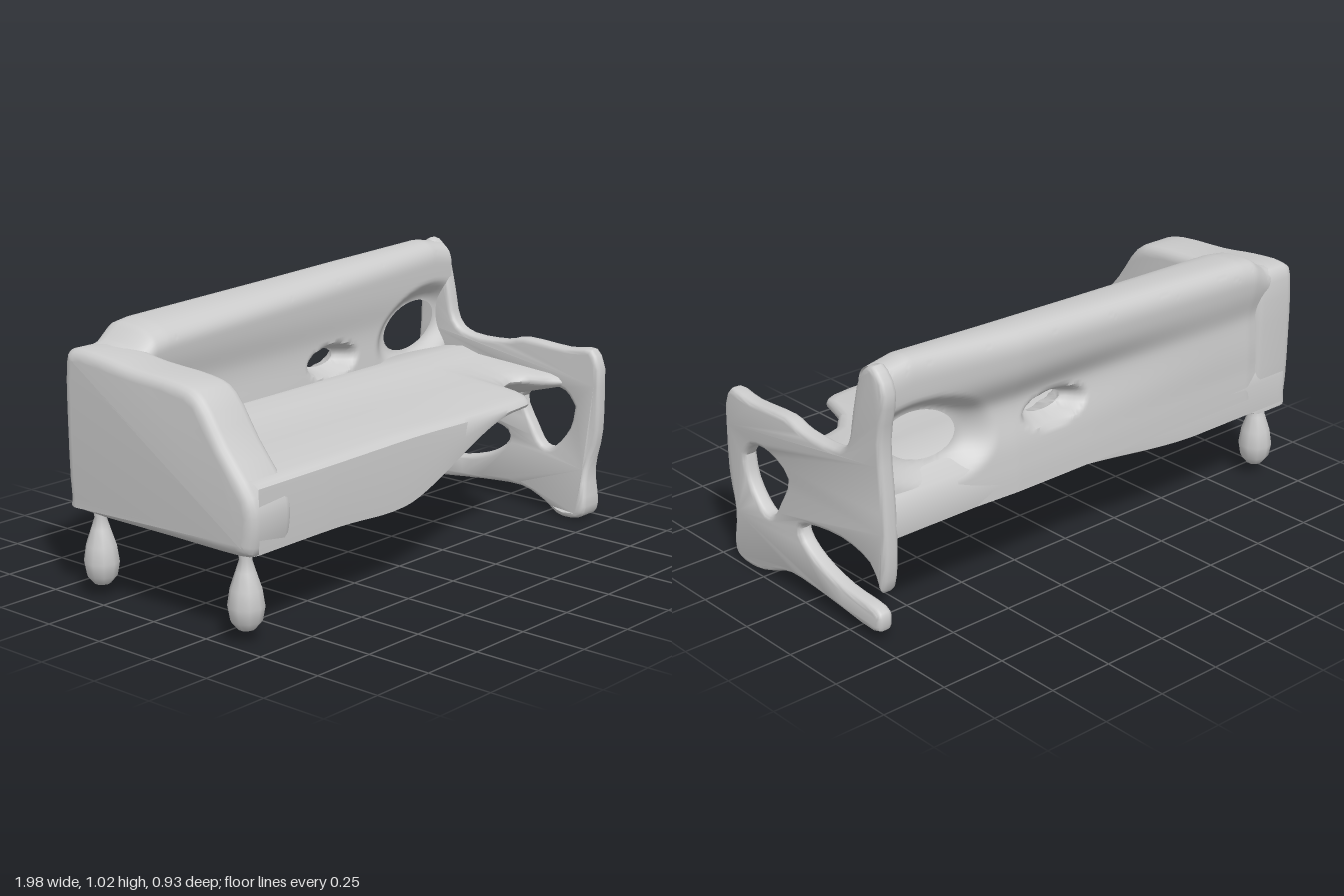
import * as THREE from 'three';
import { toCreasedNormals } from 'three/addons/utils/BufferGeometryUtils.js';

const { lerp, smoothstep } = THREE.MathUtils;
const material = new THREE.MeshStandardMaterial({ color: 0xcccccc, side: THREE.DoubleSide });

function addMesh(group, name, geometry) {
  const mesh = new THREE.Mesh(geometry, material);
  mesh.name = name;
  group.add(mesh);
  return mesh;
}

// Piecewise linear lookup in a short list of [x, value]
function lookup(list, x) {
  if (x <= list[0][0]) return list[0][1];
  for (let i = 1; i < list.length; i++) {
    const [x0, v0] = list[i - 1], [x1, v1] = list[i];
    if (x <= x1) return lerp(v0, v1, (x - x0) / (x1 - x0));
  }
  return list[list.length - 1][1];
}

// Skin rows of [x, y, z, insideHole] points
function skin(rows, crease) {
  const n = rows[0].length, index = [];
  for (let i = 0; i < rows.length - 1; i++) {
    for (let j = 0; j < n - 1; j++) {
      const corners = [rows[i][j], rows[i + 1][j], rows[i + 1][j + 1], rows[i][j + 1]];
      if (corners.every((p) => p[3])) continue;
      const a = i * n + j, b = a + n;
      index.push(a, b, b + 1, a, b + 1, a + 1);
    }
  }
  const geometry = new THREE.BufferGeometry();
  geometry.setAttribute('position', new THREE.Float32BufferAttribute(rows.flat().flatMap((p) => p.slice(0, 3)), 3));
  geometry.setIndex(index);
  return toCreasedNormals(geometry, crease);
}

// Side profile given as [z, y], extruded across x from xMin to xMax
function sidePanel(profile, hole, xMin, xMax, bevel) {
  const outline = (pts) => new THREE.SplineCurve([...pts, pts[0]].map((p) => new THREE.Vector2(...p))).getPoints(pts.length * 3);
  const shape = new THREE.Shape(outline(profile));
  if (hole) shape.holes.push(new THREE.Path(outline(hole)));
  const geometry = new THREE.ExtrudeGeometry(shape, {
    depth: xMax - xMin - 2 * bevel, bevelEnabled: true, bevelThickness: bevel,
    bevelSize: bevel, bevelOffset: -bevel, bevelSegments: 4,
  });
  geometry.rotateY(-Math.PI / 2).translate(xMax - bevel, 0, 0);
  return geometry;
}

// Solid seat: deep apron at the right arm, wedge thinning to the front left, notch beside the end panel
function seatGeometry() {
  const frontEdge = [[-0.96, 0.455], [-0.6, 0.445], [0, 0.42], [0.5, 0.40], [0.58, 0.39], [0.61, 0.37],
    [0.65, 0.24], [0.72, 0.16], [0.8, 0.135], [0.86, 0.17], [0.89, 0.25], [0.93, 0.3]];
  const rows = [];
  for (let i = 0; i <= 90; i++) {
    const x = lerp(-0.95, 0.95, i / 90);
    const zf = lookup(frontEdge, x);
    const sag = 0.02 * Math.exp(-(((x + 0.25) / 0.2) ** 2));
    const low = lerp(0.315, 0.38, smoothstep(x, -0.5, 0.2));
    const lip = lerp(0.315, 0.505, smoothstep(x, -0.18, 0.5)) - sag;
    const top = lerp(0.56, 0.545, smoothstep(x, -0.2, 0.4));
    const ring = [
      [zf - 0.03, lip], [zf - 0.005, lip + 0.01], [zf, lerp(lip, top, 0.5)], [zf - 0.005, top - 0.012],
      [zf - 0.02, top], [zf - 0.06, top + 0.01], [lerp(zf, -0.2, 0.5), 0.568],
      [-0.12, 0.578], [-0.2, 0.6], [-0.36, 0.58], [-0.42, 0.54], [-0.44, 0.45], [-0.435, low + 0.02],
      [-0.4, low], [-0.15, lerp(low, lip, 0.12)], [lerp(-0.15, zf, 0.5), lerp(low, lip, 0.55)], [zf - 0.03, lip],
    ];
    rows.push(ring.map(([z, y]) => [x, y, z]));
  }
  return skin(rows, 0.8);
}

// Backrest with a rounded top rail, hollowed behind; the skins pinch together around two openings
function backGeometry() {
  const topEdge = [[-0.92, 0.88], [-0.84, 0.9], [-0.77, 0.95], [-0.7, 0.96], [0, 0.985], [0.5, 1.005], [0.85, 1.02], [0.97, 1.0]];
  const rearEdge = [[-0.9, -0.435], [-0.75, -0.46], [0.4, -0.465], [0.97, -0.435]];
  const holes = [
    { x: 0.755, y: 0.692, rx: 0.155, ry: 0.088, tilt: 0.25 },
    { x: 0.21, y: 0.655, rx: 0.085, ry: 0.034, tilt: 0 },
  ];
  const steps = 44, rows = [];
  for (let i = 0; i <= 170; i++) {
    const row = [];
    for (let j = 0; j <= 2 * steps; j++) {
      const front = j <= steps;
      const v = 1 - Math.abs(j - steps) / steps;
      let x = lerp(-0.92, 0.96, i / 170);
      const top = lookup(topEdge, x);
      let y = lerp(0.4, top, 1 - (1 - v) ** 1.3);
      let inside = false, pinch = 1;
      for (const h of holes) {
        const c = Math.cos(h.tilt), s = Math.sin(h.tilt), dx = x - h.x, dy = y - h.y;
        const u = (dx * c + dy * s) / h.rx, w = (dy * c - dx * s) / h.ry;
        const r = Math.hypot(u, w) || 1e-6;
        pinch = Math.min(pinch, smoothstep(r, 1, 1.9));
        if (r < 1) {
          inside = true;
          x = h.x + (u * h.rx * c - w * h.ry * s) / r;
          y = h.y + (u * h.rx * s + w * h.ry * c) / r;
        }
      }
      const along = (x + 0.8) / 1.75;
      const q = Math.min(1, Math.max(0, (y - top + 0.09) / 0.09));
      const round = inside ? 0 : 1 - (1 - q ** 2.4) ** (1 / 2.4);
      const hollow = Math.exp(-(((y - 0.72) / (y > 0.72 ? 0.09 : 0.13)) ** 2));
      let z = front
        ? lerp(-0.19, -0.29, along) - 0.025 * hollow * (1 - 0.6 * along)
        : lookup(rearEdge, x) + hollow * lerp(0.03, 0.06, smoothstep(x, -0.6, 0.3)) + 0.02 * smoothstep(0.7 - y, 0, 0.2);
      z = lerp(z, -0.38, round);
      z = lerp(-0.345, z, pinch);
      row.push([x, y, z, inside]);
    }
    rows.push(row);
  }
  return skin(rows, 0.9);
}

export function createModel() {
  const model = new THREE.Group();
  model.name = 'sofa';
  addMesh(model, 'seat', seatGeometry());
  addMesh(model, 'backrest', backGeometry());

  // Solid padded arm, sloping down at the front
  const arm = sidePanel([
    [0.44, 0.325], [0.458, 0.42], [0.44, 0.52], [0.32, 0.67], [0.22, 0.81], [0.12, 0.85], [-0.1, 0.865],
    [-0.25, 0.885], [-0.39, 0.89], [-0.435, 0.84], [-0.44, 0.6], [-0.43, 0.36], [-0.39, 0.313], [0.05, 0.31], [0.38, 0.31],
  ], null, -0.99, -0.785, 0.04);
  addMesh(model, 'rightArm', toCreasedNormals(arm, 0.7));

  // Thin pierced end panel with front leg, low runner and tall rear post
  const panel = sidePanel([
    [0.46, 0.6], [0.42, 0.675], [0.3, 0.665], [0.1, 0.675], [0, 0.652], [-0.17, 0.652], [-0.25, 0.7], [-0.28, 0.82],
    [-0.32, 0.96], [-0.39, 1.015], [-0.455, 0.93], [-0.425, 0.75], [-0.44, 0.5], [-0.44, 0.3], [-0.41, 0.2],
    [-0.35, 0.29], [-0.2, 0.325], [0, 0.3], [0.035, 0.25], [-0.05, 0.185], [-0.2, 0.14], [-0.37, 0.125],
    [-0.4, 0.08], [-0.36, 0.035], [-0.1, 0.06], [0.1, 0.07], [0.22, 0.03], [0.31, 0.005], [0.41, 0.01],
    [0.445, 0.06], [0.43, 0.2], [0.46, 0.36],
  ], [[0.35, 0.44], [0.3, 0.495], [0.2, 0.5], [0.1, 0.44], [0.15, 0.33], [0.2, 0.26], [0.26, 0.265], [0.33, 0.35]],
  0.925, 0.988, 0.02);
  const p = panel.attributes.position;
  for (let i = 0; i < p.count; i++) {
    // Flare the foot of the front leg inwards
    const flare = smoothstep(p.getZ(i), 0.2, 0.35) * (1 - smoothstep(p.getY(i), 0.04, 0.3));
    if (p.getX(i) < 0.95) p.setX(i, p.getX(i) - 0.05 * flare);
  }
  addMesh(model, 'leftEndPanel', toCreasedNormals(panel, 0.7));

  // Teardrop feet under the padded arm
  const drop = [[0, 0.04], [0.03, 0.05], [0.055, 0.08], [0.064, 0.13], [0.055, 0.19], [0.035, 0.25], [0.022, 0.29], [0.03, 0.34]];
  const footGeometry = new THREE.LatheGeometry(drop.map((q) => new THREE.Vector2(...q)), 10);
  for (const [name, z] of [['frontFoot', 0.37], ['rearFoot', -0.33]]) {
    addMesh(model, name, footGeometry).position.set(-0.93, 0, z);
  }
  return model;
}
